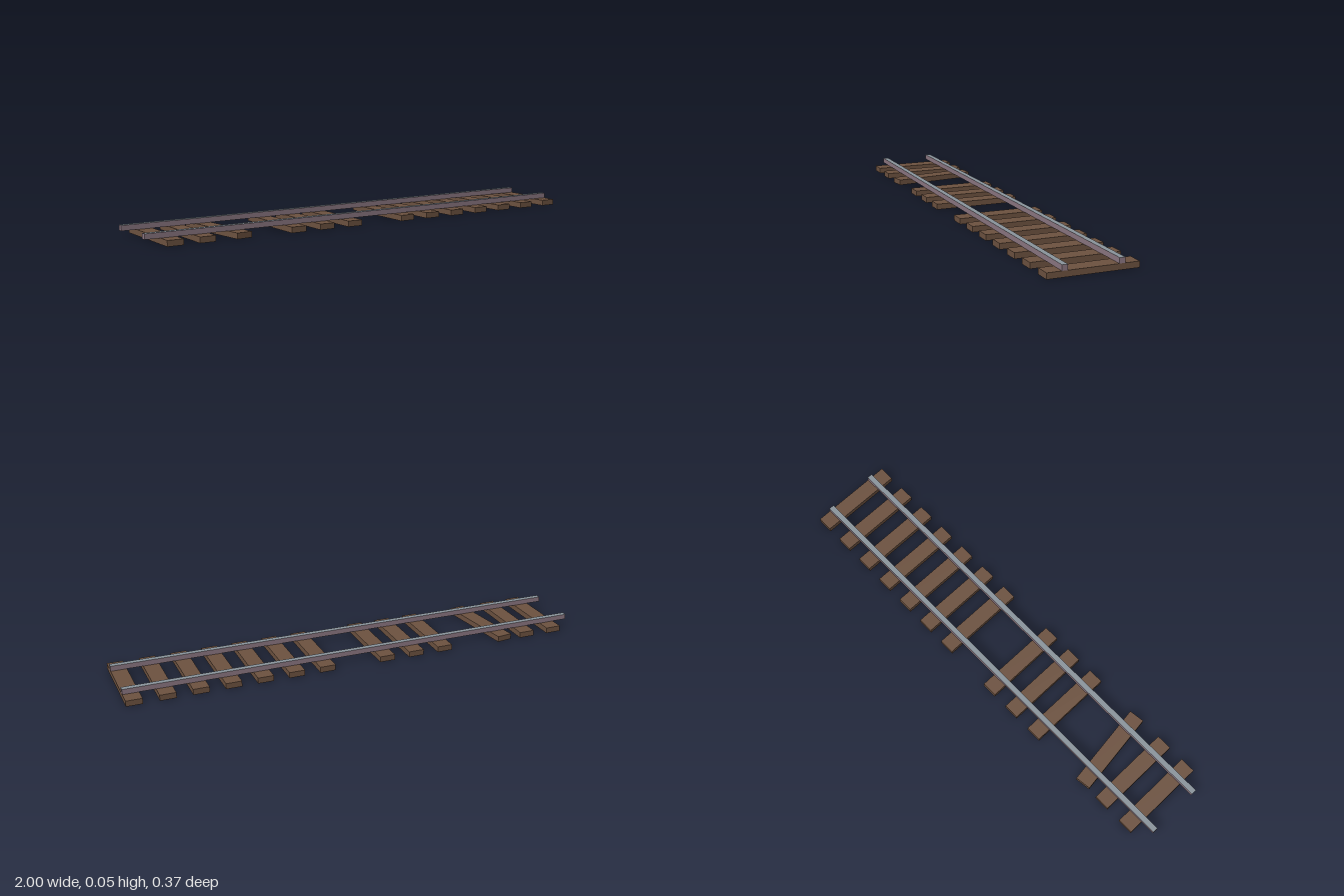
import * as THREE from 'three';

export function createModel() {
  const group = new THREE.Group();
  const mat = (name, color) => new THREE.MeshStandardMaterial({ name, color });
  const wood = mat('wood', 0x6d5240);
  const railSide = mat('rustedSteel', 0x8c7782);
  const railTop = mat('wornSteel', 0x8b959d);

  // wooden sleepers, with gaps where some are missing
  const sleeperGeo = new THREE.BoxGeometry(0.067, 0.024, 0.368);
  const pitch = 0.1335;
  const missing = [3, 7];
  for (let i = 0; i < 15; i++) {
    if (missing.includes(i)) continue;
    const sleeper = new THREE.Mesh(sleeperGeo, wood);
    sleeper.name = 'sleeper' + i;
    sleeper.position.set(-0.9025 + i * pitch, 0.012, 0);
    // one sleeper has slipped out of line
    if (i === 2) sleeper.rotation.y = 0.127;
    group.add(sleeper);
  }

  // rails with a polished running surface on the top face
  const railGeo = new THREE.BoxGeometry(2, 0.022, 0.023);
  const railMats = [railSide, railSide, railTop, railSide, railSide, railSide];
  for (const s of [-1, 1]) {
    const rail = new THREE.Mesh(railGeo, railMats);
    rail.name = s > 0 ? 'frontRail' : 'backRail';
    rail.position.set(0, 0.035, s * 0.113);
    group.add(rail);
  }
  return group;
}
